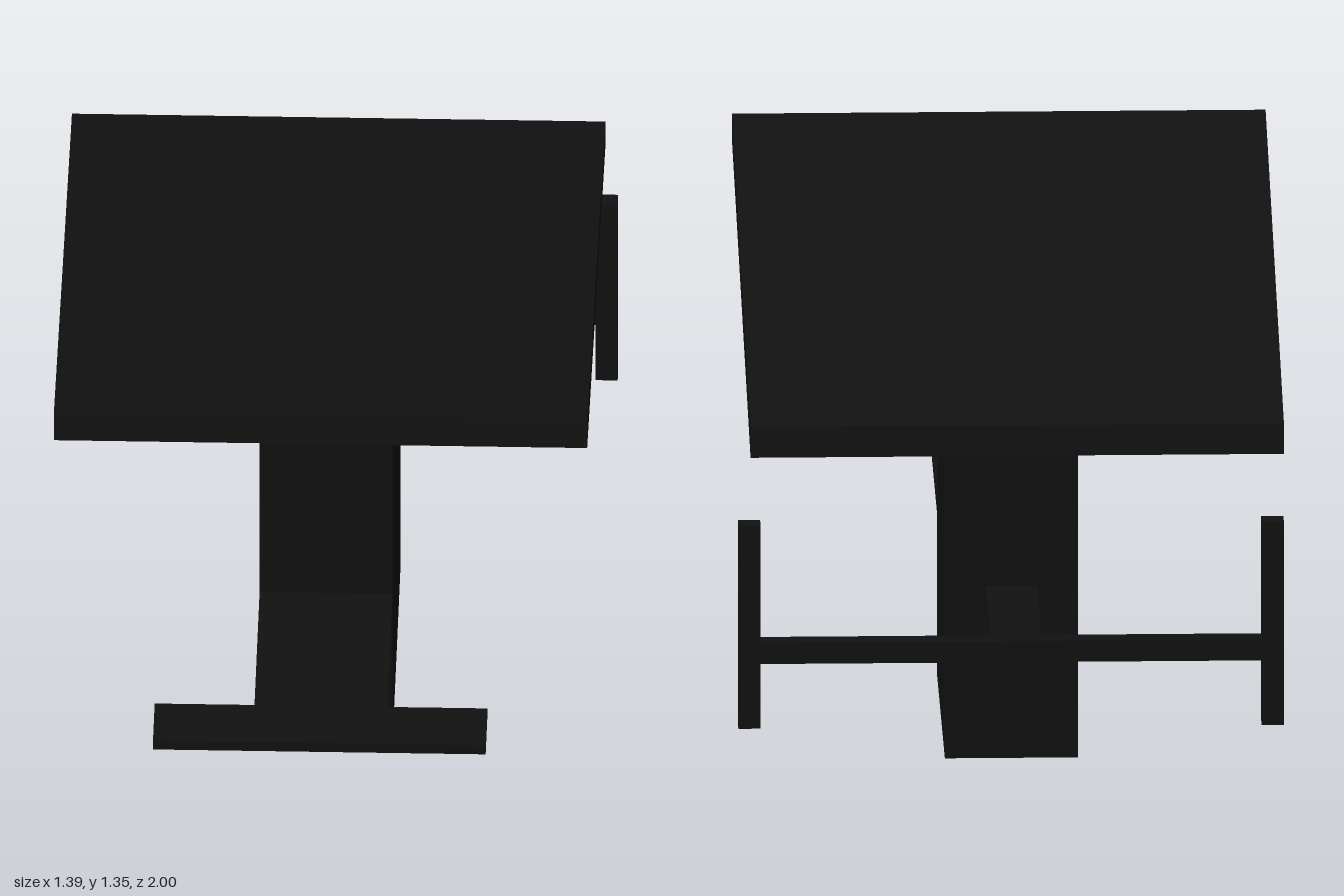
import * as THREE from 'three';

const material = new THREE.MeshStandardMaterial({ color: 0x111111, flatShading: true });

// Box given by its minimum and maximum on each axis
function box(name, [x0, x1], [y0, y1], [z0, z1]) {
  const geometry = new THREE.BoxGeometry(x1 - x0, y1 - y0, z1 - z0);
  geometry.translate((x0 + x1) / 2, (y0 + y1) / 2, (z0 + z1) / 2);
  const mesh = new THREE.Mesh(geometry, material);
  mesh.name = name;
  return mesh;
}

// Side profile of (z, y) points extruded across x
function sideProfile(name, points, [x0, x1]) {
  const shape = new THREE.Shape(points.map(([z, y]) => new THREE.Vector2(z, y)));
  const geometry = new THREE.ExtrudeGeometry(shape, { depth: x1 - x0, bevelEnabled: false });
  geometry.rotateY(-Math.PI / 2).translate(x1, 0, 0);
  const mesh = new THREE.Mesh(geometry, material);
  mesh.name = name;
  return mesh;
}

export function createModel() {
  const model = new THREE.Group();
  model.name = 'slopedDesk';
  const columnX = [-0.185, 0.155];
  const plateY = [0.43, 0.458];

  // Pedestal with a sloped top, carrying the tilted desktop
  model.add(sideProfile('column', [[-0.455, 0], [0.33, 0], [0.33, 1.182], [-0.455, 1.045]], columnX));
  model.add(sideProfile('desktop',
    [[-0.968, 0.955], [0.83, 1.27], [0.815, 1.347], [-0.965, 1.035]], [-0.698, 0.665]));

  // T-shaped plate at the front
  model.add(box('frontPlateStem', columnX, plateY, [0.33, 0.835]));
  model.add(box('frontPlateBar', [-0.44, 0.41], plateY, [0.835, 1]));

  // H-shaped rail at the back, joined to the column by a narrow strip
  const rearZ = [-1, -0.945];
  model.add(box('rearArm', [-0.08, 0.05], plateY, [-0.945, -0.455]));
  model.add(box('rearCrossbar', [-0.64, 0.64], [0.415, 0.471], rearZ));
  for (const side of [-1, 1]) {
    const xs = [side * 0.64, side * 0.697].sort((a, b) => a - b);
    model.add(box(side > 0 ? 'leftPost' : 'rightPost', xs, [0.243, 0.783], rearZ));
  }
  return model;
}
